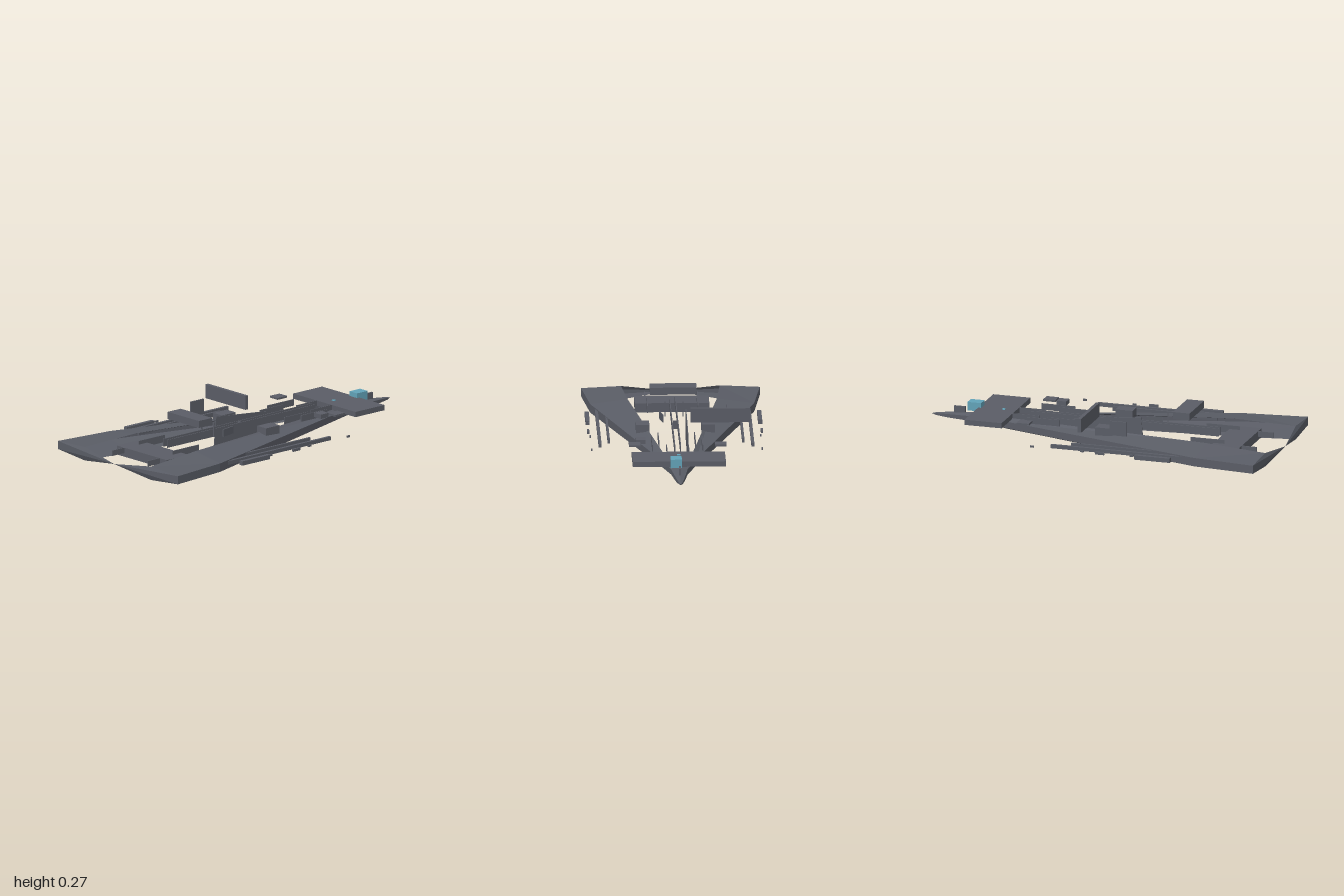
import * as THREE from 'three';

export function createModel() {
  const model = new THREE.Group();
  const grey = new THREE.MeshStandardMaterial({ color: 0x5a5d66 });
  grey.name = 'hull grey';
  const shell = new THREE.MeshStandardMaterial({ color: 0x5a5d66, side: THREE.DoubleSide, flatShading: true });
  shell.name = 'hull shell grey';
  const blue = new THREE.MeshStandardMaterial({ color: 0x62a3b8 });
  blue.name = 'canopy blue';

  // Box from its limits on each axis
  function box(name, x0, x1, y0, y1, z0, z1, mat = grey) {
    const mesh = new THREE.Mesh(new THREE.BoxGeometry(x1 - x0, y1 - y0, z1 - z0), mat);
    mesh.position.set((x0 + x1) / 2, (y0 + y1) / 2, (z0 + z1) / 2);
    mesh.name = name;
    model.add(mesh);
    return mesh;
  }
  function pair(name, x0, x1, y0, y1, z0, z1) {
    box(name + 'Left', x0, x1, y0, y1, z0, z1);
    box(name + 'Right', x0, x1, y0, y1, -z1, -z0);
  }

  // Hull stations: x, inner z, outer z, then y of inner top, outer top, outer bottom, inner bottom
  const stations = [
    [-0.972, 0.265, 0.48, 0.13, 0.12, 0.075, 0.055],
    [-0.63, 0.24, 0.44, 0.147, 0.12, 0.073, 0.046],
    [0.55, 0.065, 0.092, 0.13, 0.115, 0.08, 0.068],
    [0.73, 0, 0.045, 0.125, 0.112, 0.083, 0.074],
    [0.9, 0, 0.022, 0.112, 0.105, 0.086, 0.08],
    [0.97, 0, 0.009, 0.103, 0.1, 0.09, 0.087],
    [0.995, 0, 0, 0.095, 0.095, 0.095, 0.095],
  ];

  // One hull arm: deck, outer side and bottom strips, plus a stern fan to the centre line
  function hullSide(side) {
    const pos = [];
    const tri = (a, b, c) => {
      for (const p of side > 0 ? [a, b, c] : [a, c, b]) pos.push(p[0], p[1], p[2] * side);
    };
    const rings = stations.map(([x, zi, zo, a, b, c, d]) =>
      [[x, a, zi], [x, b, zo], [x, c, zo], [x, d, zi]]);
    for (let i = 0; i < rings.length - 1; i++) {
      for (let k = 0; k < 3; k++) {
        const p = rings[i], q = rings[i + 1];
        tri(p[k], p[k + 1], q[k + 1]);
        tri(p[k], q[k + 1], q[k]);
      }
    }
    const centre = [-1, 0.095, 0];
    for (let k = 0; k < 3; k++) tri(rings[0][k + 1], rings[0][k], centre);
    const geo = new THREE.BufferGeometry();
    geo.setAttribute('position', new THREE.Float32BufferAttribute(pos, 3));
    geo.computeVertexNormals();
    const mesh = new THREE.Mesh(geo, shell);
    mesh.name = side > 0 ? 'hullLeft' : 'hullRight';
    model.add(mesh);
  }
  hullSide(1);
  hullSide(-1);

  // Cross blocks
  box('bowBlock', 0.52, 0.73, 0.125, 0.154, -0.25, 0.25);
  box('sternBlock', -0.8, -0.64, 0.07, 0.12, -0.2, 0.2);
  box('raisedBlock', -0.5, -0.405, 0.228, 0.267, -0.125, 0.125);
  box('crossBar', 0.022, 0.042, 0.19, 0.267, -0.4, -0.08);

  // Canopy, lower sensor and nose fin
  box('canopy', 0.713, 0.79, 0.133, 0.18, -0.012, 0.048, blue);
  box('lowerSensor', 0.52, 0.6, 0.06, 0.077, -0.012, 0.012, blue);
  box('upperSensor', 0.58, 0.597, 0.15, 0.157, -0.01, 0.01, blue);
  box('noseFin', 0.805, 0.868, 0.113, 0.15, -0.005, 0.005);

  // Slanted keel plate
  const keel = box('keelPlate', -0.215, 0.165, 0.02, 0.18, -0.064, -0.06);
  keel.rotation.z = -0.1;

  // Deck blocks
  pair('midBlock', -0.092, 0.005, 0.12, 0.168, 0.14, 0.212);
  pair('foreDeckPlate', 0.363, 0.432, 0.158, 0.168, 0.2, 0.262);
  box('foreDeckBox', 0.292, 0.348, 0.152, 0.176, 0.17, 0.225);
  box('sidePlate', -0.195, -0.1, 0.155, 0.234, -0.285, -0.277);

  // Outboard rails
  pair('longRail', -0.58, 0.19, 0.093, 0.113, 0.402, 0.418);
  pair('innerRail', -0.5, 0.09, 0.09, 0.116, 0.355, 0.367);
  pair('outerRail', -0.5, -0.3, 0.09, 0.114, 0.452, 0.474);
  pair('outerTab', -0.13, -0.08, 0.098, 0.112, 0.46, 0.472);
  for (const x of [-0.28, 0, 0.28]) pair('outerStud', x - 0.01, x + 0.01, 0.1, 0.11, 0.453, 0.461);

  // Thin upright strakes between the arms
  pair('centreStrake', -0.63, 0.44, 0.12, 0.163, 0.013, 0.018);
  pair('aftStrake', -0.7, -0.51, 0.1, 0.14, 0.133, 0.138);
  pair('sternStrake', -0.885, -0.8, 0.09, 0.12, 0.139, 0.145);
  pair('foreStrake', 0.23, 0.42, 0.13, 0.165, 0.132, 0.137);
  pair('bowStrake', 0.37, 0.52, 0.125, 0.155, 0.057, 0.061);
  pair('midStrake', 0.14, 0.31, 0.125, 0.163, 0.096, 0.1);

  // Masts and small fittings
  pair('mast', -0.325, -0.319, 0.13, 0.212, 0.046, 0.051);
  const strut = box('slantedStrut', -0.285, -0.195, 0.13, 0.17, 0.067, 0.073);
  strut.rotation.y = 0.2;
  box('centrePost', -0.097, -0.09, 0.12, 0.165, -0.012, 0.012);

  return model;
}
